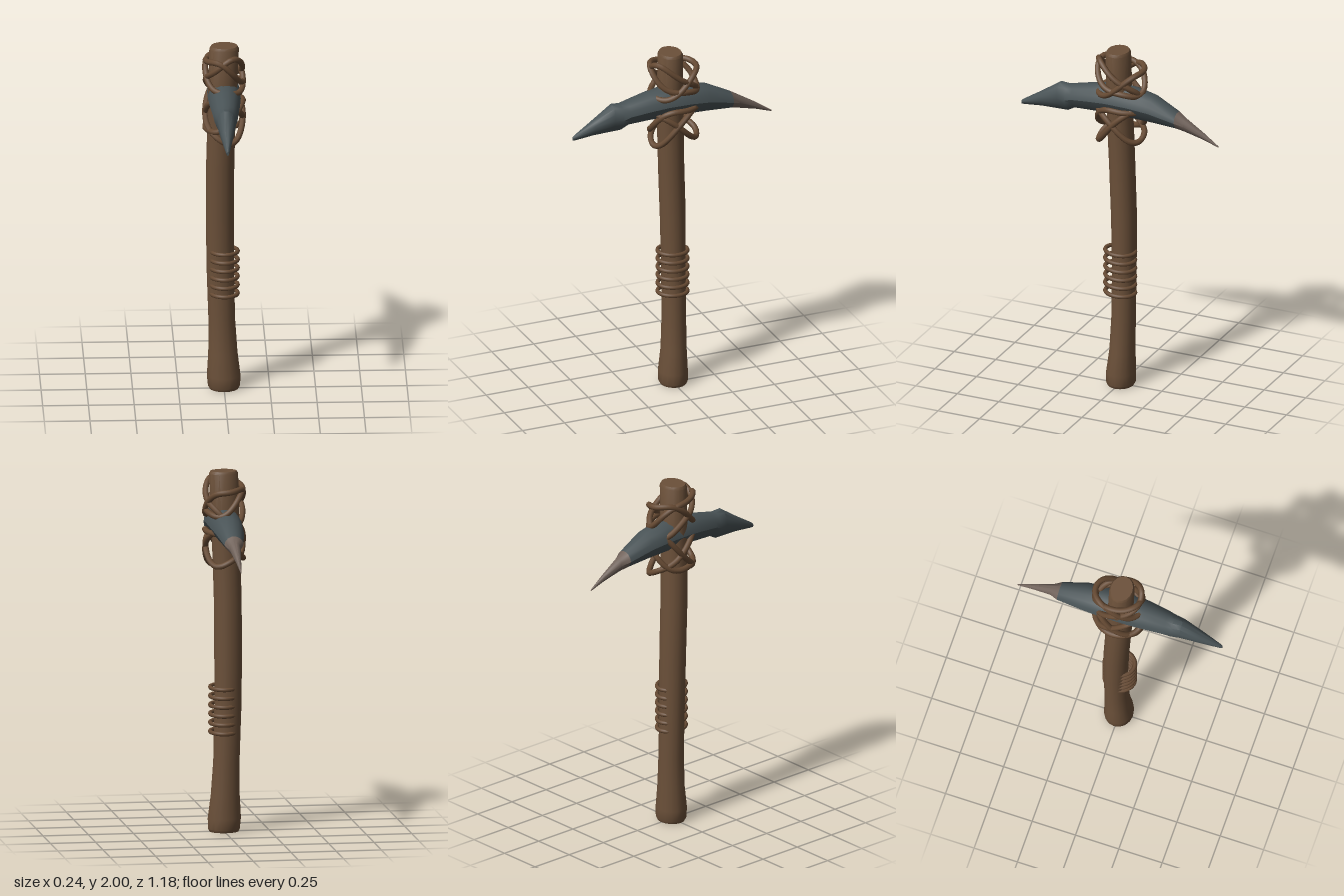
import * as THREE from 'three';
import { toCreasedNormals } from 'three/addons/utils/BufferGeometryUtils.js';

// Skin a list of rings (each an array of Vector3, counter-clockwise about the axis) and cap both ends
function loft(rings, crease = 0.6) {
  const n = rings[0].length, pos = [], idx = [];
  rings.forEach(r => r.forEach(p => pos.push(p.x, p.y, p.z)));
  for (let i = 0; i < rings.length - 1; i++) {
    for (let j = 0; j < n; j++) {
      const k = (j + 1) % n, a = i * n + j, b = i * n + k, c = b + n, d = a + n;
      idx.push(a, b, c, a, c, d);
    }
  }
  [0, rings.length - 1].forEach((row, end) => {
    const centre = new THREE.Vector3();
    rings[row].forEach(p => centre.addScaledVector(p, 1 / n));
    const m = pos.length / 3;
    pos.push(centre.x, centre.y, centre.z);
    for (let j = 0; j < n; j++) {
      const a = row * n + j, b = row * n + (j + 1) % n;
      if (end) idx.push(m, a, b); else idx.push(m, b, a);
    }
  });
  const g = new THREE.BufferGeometry();
  g.setAttribute('position', new THREE.Float32BufferAttribute(pos, 3));
  g.setIndex(idx);
  return toCreasedNormals(g, crease);
}

const ring = (n, fn) => Array.from({ length: n }, (_, j) => fn(j / n * Math.PI * 2));

// Handle ring: y, centre x, centre z, radius x, radius z
const handleRing = ([y, cx, cz, rx, rz]) =>
  ring(16, a => new THREE.Vector3(cx + rx * Math.sin(a), y, cz + rz * Math.cos(a)));

// Head ring: z, half width, top y, bottom y; the underside narrows to a keel
const headRing = ([z, w, top, bottom]) => ring(14, a => {
  const s = Math.sin(a), keel = s < 0 ? 1 + 0.3 * s : 1;
  return new THREE.Vector3(w * Math.cos(a) * keel, (top + bottom) / 2 + (top - bottom) / 2 * s, z);
});

// Closed cord around the handle; height(a) gives y, with a = 0 at the front
function cordLoop(cx, cz, rx, rz, height, thickness) {
  const pts = ring(20, a => new THREE.Vector3(cx + rx * Math.sin(a), height(a), cz + rz * Math.cos(a)));
  return new THREE.TubeGeometry(new THREE.CatmullRomCurve3(pts, true), 56, thickness, 8, true);
}

export function createModel() {
  const model = new THREE.Group();
  const mat = (name, color) => {
    const m = new THREE.MeshStandardMaterial({ color });
    m.name = name;
    return m;
  };
  const wood = mat('wood', 0x6b5039);
  const cord = mat('cord', 0x664a33);
  const stone = mat('stone', 0x495356);
  const paleTip = mat('pale tip', 0x70625a);
  const add = (name, geometry, material, parent = model) => {
    const mesh = new THREE.Mesh(geometry, material);
    mesh.name = name;
    parent.add(mesh);
    return mesh;
  };

  // Slightly bowed wooden handle with a swollen foot
  add('handle', loft([
    [0.005, 0, -0.004, 0.08, 0.072],
    [0.02, 0, -0.004, 0.088, 0.08],
    [0.08, -0.002, -0.004, 0.092, 0.08],
    [0.21, -0.006, -0.01, 0.08, 0.07],
    [0.4, -0.012, -0.014, 0.073, 0.066],
    [0.7, -0.02, -0.015, 0.075, 0.066],
    [1.0, -0.022, -0.012, 0.077, 0.07],
    [1.3, -0.021, -0.002, 0.077, 0.071],
    [1.5, -0.016, 0.004, 0.077, 0.072],
    [1.75, -0.008, 0.01, 0.079, 0.07],
    [1.985, 0, 0.012, 0.081, 0.068],
    [2.0, 0, 0.012, 0.073, 0.06],
  ].map(handleRing)), wood);

  // Curved pick head: chipped stone body and a slim pale spike at the back
  const joint = [-0.345, 0.053, 1.695, 1.598];
  add('pickHead', loft([
    joint,
    [-0.2, 0.079, 1.768, 1.608],
    [-0.08, 0.09, 1.794, 1.612],
    [0.05, 0.09, 1.796, 1.615],
    [0.15, 0.082, 1.778, 1.615],
    [0.27, 0.068, 1.75, 1.61],
    [0.31, 0.062, 1.742, 1.587],
    [0.36, 0.053, 1.747, 1.585],
    [0.47, 0.034, 1.672, 1.582],
    [0.58, 0.011, 1.602, 1.57],
    [0.592, 0.007, 1.592, 1.57],
  ].map(headRing)), stone);
  add('backSpike', loft([
    [-0.59, 0.003, 1.537, 1.529],
    [-0.5, 0.015, 1.6, 1.56],
    [-0.39, 0.031, 1.668, 1.588],
    joint,
  ].map(headRing)), paleTip);

  // Crossed lashings: tilted loops above and below the head [mid y, tilt, azimuth of high side]
  const lashing = new THREE.Group();
  lashing.name = 'headLashing';
  model.add(lashing);
  [
    [1.835, 0.105, 0.45],
    [1.83, 0.085, Math.PI + 0.35],
    [1.85, 0.085, -0.9],
    [1.6, 0.13, Math.PI + 0.1],
    [1.595, 0.1, -0.3],
    [1.6, 0.085, 1.9],
  ].forEach(([y, tilt, azimuth], i) => {
    const wobble = a => y + tilt * Math.cos(a - azimuth) + 0.012 * Math.sin(3 * a + i);
    add('lashingLoop', cordLoop(0, -0.006, 0.1 + 0.003 * (i % 2), 0.128 + 0.003 * (i % 3), wobble, 0.0165), cord, lashing);
  });

  // Grip: six stacked cord rings, set a little off the handle's centre
  const grip = new THREE.Group();
  grip.name = 'gripWrap';
  model.add(grip);
  for (let i = 0; i < 6; i++) {
    const y = 0.558 + i * 0.049;
    add('gripRing', cordLoop(0.002, 0, 0.073, 0.084, a => y + 0.004 * Math.cos(a), 0.0115), cord, grip);
  }
  return model;
}
